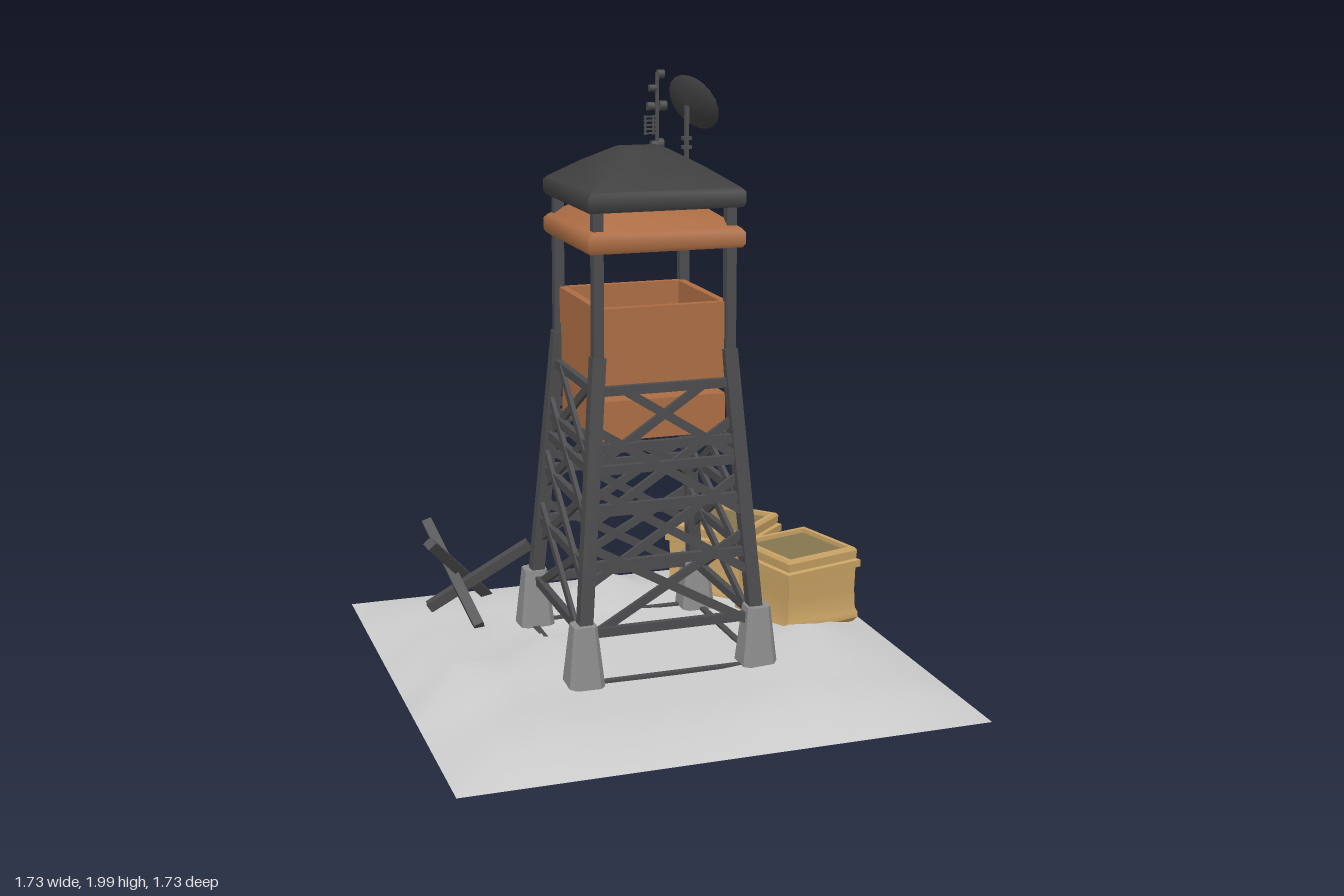
import * as THREE from 'three';
import { toCreasedNormals } from 'three/addons/utils/BufferGeometryUtils.js';

const mat = (color, side = THREE.FrontSide) => new THREE.MeshStandardMaterial({ color, side });
const METAL = mat(0x4c4c4e), ROOF = mat(0x404041), WOOD = mat(0xac6d44), CRATE = mat(0xc8a264);
const FILL = mat(0x85754f), CONCRETE = mat(0x8c8c8c), GROUND = mat(0xcccccc, THREE.DoubleSide);
const DISH = mat(0x404042, THREE.DoubleSide);
const V = (x, y, z) => new THREE.Vector3(x, y, z);

function add(parent, name, geometry, material, x = 0, y = 0, z = 0) {
  const mesh = new THREE.Mesh(geometry, material);
  mesh.name = name;
  mesh.position.set(x, y, z);
  parent.add(mesh);
  return mesh;
}

function group(parent, name, x = 0, y = 0, z = 0) {
  const g = new THREE.Group();
  g.name = name;
  g.position.set(x, y, z);
  parent.add(g);
  return g;
}

// Box bar from a to b; "out" is the direction its thickness t faces
function beam(parent, name, a, b, w, t = w, out = V(0, 0, 1)) {
  const dir = b.clone().sub(a), len = dir.length();
  dir.normalize();
  const side = new THREE.Vector3().crossVectors(dir, out).normalize();
  const m = add(parent, name, new THREE.BoxGeometry(w, len, t), METAL);
  m.quaternion.setFromRotationMatrix(
    new THREE.Matrix4().makeBasis(side, dir, new THREE.Vector3().crossVectors(side, dir)));
  m.position.copy(a).add(b).multiplyScalar(0.5);
}

// Square solid turned from a [half width, height] profile
function squareLathe(profile, crease) {
  const pts = profile.map(([r, y]) => new THREE.Vector2(r * Math.SQRT2, y));
  return toCreasedNormals(new THREE.LatheGeometry(pts, 4, Math.PI / 4), crease);
}

// Uneven ground sheet with flat edges and a few peaks [x, z, height]
function ground(parent) {
  const geo = new THREE.PlaneGeometry(1.725, 1.725, 10, 10).rotateX(-Math.PI / 2);
  const peaks = [[-0.69, 0.17, 0.08], [-0.69, -0.17, 0.04], [-0.34, 0, 0.06], [0, -0.52, 0.1],
    [0.52, 0.17, 0.08], [0.34, 0.52, 0.045], [-0.52, 0.52, 0.03]];
  const p = geo.attributes.position;
  for (let i = 0; i < p.count; i++) {
    const x = p.getX(i), z = p.getZ(i);
    let y = Math.max(Math.abs(x), Math.abs(z)) > 0.8 ? 0.02 : 0.065;
    if (y > 0.02) for (const [px, pz, h] of peaks) y += h * Math.exp(-((x - px) ** 2 + (z - pz) ** 2) / 0.018);
    p.setY(i, y);
  }
  geo.computeVertexNormals();
  add(parent, 'ground', geo, GROUND);
}

// Tapered concrete footing with chamfered corners
function footing() {
  const s = 0.065, c = 0.045;
  const shape = new THREE.Shape([[s, c], [c, s], [-c, s], [-s, c], [-s, -c], [-c, -s], [c, -s], [s, -c]]
    .map(([x, y]) => new THREE.Vector2(x, y)));
  const geo = new THREE.ExtrudeGeometry(shape, { depth: 0.25, bevelEnabled: false }).rotateX(-Math.PI / 2);
  const p = geo.attributes.position;
  for (let i = 0; i < p.count; i++) {
    const k = 1 - 0.4 * p.getY(i) / 0.25;
    p.setX(i, p.getX(i) * k);
    p.setZ(i, p.getZ(i) * k);
  }
  geo.computeVertexNormals();
  return geo;
}

// Half width of the tower frame at height y
const reach = y => (y >= 1.13 ? 0.223 : 0.295 - 0.072 * (y - 0.25) / 0.88);

function frame(tower) {
  for (const sx of [-1, 1]) for (const sz of [-1, 1]) {
    const at = y => V(sx * reach(y), y, sz * reach(y));
    add(tower, 'footing', footing(), CONCRETE, sx * 0.3, 0.02, sz * 0.3);
    beam(tower, 'leg', at(0.2), at(1.13), 0.045);
    beam(tower, 'post', at(1.12), at(1.62), 0.034);
  }
  for (let k = 0; k < 4; k++) {
    const face = group(tower, 'bracedSide');
    face.rotation.y = k * Math.PI / 2;
    for (const y of [0.06, 0.235, 0.455, 0.64, 0.765, 0.835, 1.02])
      beam(face, 'girder', V(-reach(y), y, reach(y)), V(reach(y), y, reach(y)), 0.03, 0.022);
    // Overlapping crosses from leg to leg; the top pair stops under the cabin
    for (const [low, high, end] of [[0.205, 0.52, 1], [0.385, 0.71, 1], [0.585, 0.9, 1], [0.77, 1.02, 0.6]])
      for (const s of [-1, 1])
        beam(face, 'crossBrace', V(s * reach(low), low, reach(low) + s * 0.008),
          V(-s * end * reach(high), high, reach(high) + s * 0.008), 0.028, 0.014);
  }
}

function cabin(tower) {
  add(tower, 'floorBox', new THREE.BoxGeometry(0.43, 0.13, 0.43), WOOD, 0, 0.915, 0);
  for (let k = 0; k < 4; k++) {
    const wall = group(tower, 'cabinWall');
    wall.rotation.y = k * Math.PI / 2;
    add(wall, 'lowerPlank', new THREE.BoxGeometry(0.435, 0.133, 0.022), WOOD, 0, 1.0965, 0.209);
    add(wall, 'upperPlank', new THREE.BoxGeometry(0.435, 0.122, 0.026), WOOD, 0, 1.224, 0.211);
  }
  // Roof and the wooden collar under it share one hipped shape
  const hip = [[0, 0], [0.255, 0], [0.262, 0.012], [0.262, 0.05], [0.25, 0.063], [0.16, 0.122], [0.065, 0.175], [0, 0.178]];
  add(tower, 'roofCollar', squareLathe(hip, 0.82), WOOD, 0, 1.465, 0);
  add(tower, 'roof', squareLathe(hip, 0.82), ROOF, 0, 1.594, 0);
}

function dishAndMast(parent) {
  const rig = group(parent, 'antennaRig');
  // Mast with small aerials
  beam(rig, 'mast', V(0.125, 1.68, -0.255), V(0.125, 1.99, -0.255), 0.011);
  for (const [x, y, z, r] of [[0.14, 1.985, -0.265, 0.015], [0.108, 1.94, -0.255, 0.012], [0.1, 1.88, -0.25, 0.014],
    [0.148, 1.88, -0.265, 0.017], [0.14, 1.75, -0.275, 0.02], [0.11, 1.75, -0.24, 0.016]]) {
    add(rig, 'drum', new THREE.CylinderGeometry(r, r, 0.024, 10).rotateZ(Math.PI / 2), METAL, x, y, z);
    beam(rig, 'drumArm', V(0.125, y, -0.255), V(x, y, z), 0.008, 0.008, V(0, 1, 0));
  }
  for (const x of [0.08, 0.108]) beam(rig, 'ladderRail', V(x, 1.785, -0.245), V(x, 1.85, -0.245), 0.006);
  for (let i = 0; i < 5; i++)
    beam(rig, 'ladderRung', V(0.075, 1.79 + i * 0.014, -0.245), V(0.125, 1.79 + i * 0.014, -0.25), 0.006);
  // Dish on its own pole
  beam(rig, 'dishPole', V(0.225, 1.65, -0.24), V(0.225, 1.88, -0.24), 0.014);
  for (const y of [1.74, 1.77]) add(rig, 'poleClamp', new THREE.BoxGeometry(0.032, 0.012, 0.024), METAL, 0.225, y, -0.24);
  const profile = [[0, -0.022], [0.04, -0.018], [0.078, -0.007], [0.104, 0.008], [0.104, 0.012]]
    .map(([x, y]) => new THREE.Vector2(x, y));
  const dish = add(rig, 'dish', new THREE.LatheGeometry(profile, 20), DISH, 0.246, 1.885, -0.245);
  dish.quaternion.setFromUnitVectors(V(0, 1, 0), V(0.78, 0.46, -0.4).normalize());
  beam(rig, 'feedArm', V(0.275, 1.825, -0.28), V(0.35, 1.88, -0.318), 0.009);
  add(rig, 'feedHorn', new THREE.CylinderGeometry(0.009, 0.012, 0.025, 8), METAL, 0.35, 1.88, -0.318);
}

// Open crate with a sagging underside, flared foot, raised band and sunken contents
function crate(parent, x, z, turn) {
  const g = group(parent, 'crate', x, 0.045, z);
  g.rotation.y = turn;
  add(g, 'crateBody', squareLathe([[0, -0.035], [0.11, -0.025], [0.147, 0], [0.157, 0.015], [0.157, 0.035],
    [0.15, 0.05], [0.147, 0.12], [0.149, 0.2], [0.161, 0.205], [0.161, 0.23], [0.15, 0.235], [0.152, 0.265],
    [0.146, 0.275], [0.129, 0.275], [0.127, 0.24]], 0.5), CRATE);
  add(g, 'contents', new THREE.BoxGeometry(0.262, 0.02, 0.262), FILL, 0, 0.25, 0);
}

export function createModel() {
  const model = new THREE.Group();
  model.name = 'watchtower';
  ground(model);
  const tower = group(model, 'tower', 0, 0, -0.04);
  frame(tower);
  cabin(tower);
  dishAndMast(model);
  crate(model, 0.488, -0.54, 0.72);
  crate(model, 0.622, -0.157, 0.26);
  // Crossed steel barrier
  const barrier = group(model, 'barrier');
  beam(barrier, 'barrierBar', V(-0.59, 0.34, -0.77), V(-0.5, 0.07, -0.35), 0.036);
  beam(barrier, 'barrierBar', V(-0.63, 0.08, -0.58), V(-0.28, 0.31, -0.49), 0.036);
  beam(barrier, 'barrierBar', V(-0.655, 0.37, -0.42), V(-0.38, 0.05, -0.71), 0.036);
  return model;
}
